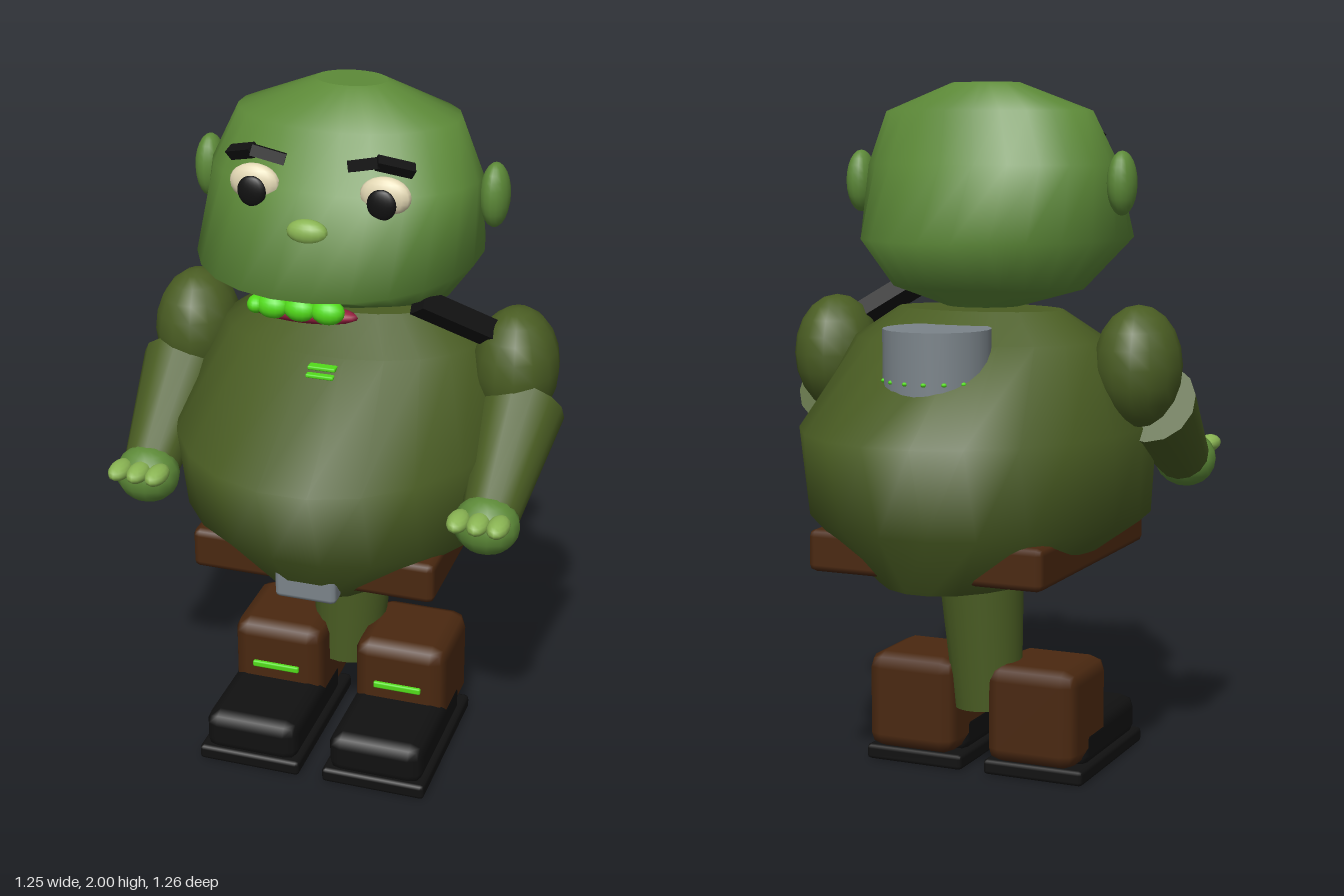
import * as THREE from 'three';
import { RoundedBoxGeometry } from 'three/addons/geometries/RoundedBoxGeometry.js';

const paint = (name, color) => {
  const m = new THREE.MeshStandardMaterial({ color });
  m.name = name;
  return m;
};

// Closed skin through elliptical rings, listed bottom to top: [y, halfWidth, zFront, zBack]
function loft(rings, n) {
  const pos = [], idx = [];
  const addRing = ([y, rx, zf, zb]) => {
    const start = pos.length / 3;
    for (let i = 0; i < n; i++) {
      const a = ((i + 0.5) / n) * Math.PI * 2;
      pos.push(rx * Math.sin(a), y, (zf + zb) / 2 + ((zf - zb) / 2) * Math.cos(a));
    }
    return start;
  };
  const starts = rings.map(addRing);
  for (let r = 0; r < rings.length - 1; r++) {
    for (let i = 0; i < n; i++) {
      const j = (i + 1) % n, a = starts[r], b = starts[r + 1];
      idx.push(a + i, a + j, b + j, a + i, b + j, b + i);
    }
  }
  // flat caps with their own vertices
  [rings[0], rings[rings.length - 1]].forEach((ring, top) => {
    const s = addRing(ring), c = pos.length / 3;
    pos.push(0, ring[0], (ring[2] + ring[3]) / 2);
    for (let i = 0; i < n; i++) {
      const j = (i + 1) % n;
      if (top) idx.push(c, s + i, s + j);
      else idx.push(c, s + j, s + i);
    }
  });
  const g = new THREE.BufferGeometry();
  g.setAttribute('position', new THREE.Float32BufferAttribute(pos, 3));
  g.setIndex(idx);
  g.computeVertexNormals();
  return g;
}

export function createModel() {
  const olive = paint('olive cloth', 0x4a5d23);
  const skin = paint('green skin', 0x5d8a38);
  const lightSkin = paint('light green skin', 0x8ab553);
  const glow = paint('bright green', 0x52dc1a);
  const brown = paint('brown leather', 0x4a2810);
  const black = paint('black', 0x111111);
  const gray = paint('gray metal', 0x7b848a);
  const cream = paint('cream', 0xe3d8b4);
  const red = paint('dark red', 0x96203f);

  const model = new THREE.Group();
  model.name = 'goblin';

  const add = (name, geo, mat, x = 0, y = 0, z = 0) => {
    const m = new THREE.Mesh(geo, mat);
    m.name = name;
    m.position.set(x, y, z);
    model.add(m);
    return m;
  };
  const ball = (name, mat, x, y, z, rx, ry, rz, ws = 16, hs = 12) => {
    const m = add(name, new THREE.SphereGeometry(1, ws, hs), mat, x, y, z);
    m.scale.set(rx, ry, rz);
    return m;
  };
  const block = (name, mat, x, y, z, w, h, d, r) =>
    add(name, new RoundedBoxGeometry(w, h, d, 1, r), mat, x, y, z);
  // long part whose local y axis runs from a to b
  const between = (name, mat, a, b, makeGeo) => {
    const p = new THREE.Vector3(...a), q = new THREE.Vector3(...b);
    const dir = q.clone().sub(p), mid = p.clone().add(q).multiplyScalar(0.5);
    const m = add(name, makeGeo(dir.length()), mat, mid.x, mid.y, mid.z);
    m.quaternion.setFromUnitVectors(new THREE.Vector3(0, 1, 0), dir.normalize());
    return m;
  };

  // Torso, belt and the single trunk below it
  add('body', loft([
    [0.61, 0.25, 0.41, -0.44],
    [0.78, 0.485, 0.53, -0.54],
    [1.04, 0.49, 0.635, -0.635],
    [1.28, 0.38, 0.255, -0.275],
    [1.365, 0.25, 0.13, -0.16],
  ], 22), olive);
  block('belt', brown, 0, 0.7, -0.005, 0.71, 0.12, 0.81, 0.02);
  block('buckle', gray, 0, 0.665, 0.425, 0.18, 0.09, 0.06, 0.015);
  between('trunk', olive, [-0.02, 0.2, -0.005], [0, 0.64, -0.015],
    (h) => new THREE.CylinderGeometry(0.128, 0.1, h, 20));
  for (const y of [1.245, 1.262])
    block('chestMark', glow, 0, y, 0.285 + (1.262 - y), 0.08, 0.011, 0.03, 0.004);

  // Head
  add('head', loft([
    [1.37, 0.11, 0.11, -0.09],
    [1.42, 0.29, 0.21, -0.14],
    [1.56, 0.388, 0.55, -0.335],
    [1.77, 0.378, 0.32, -0.18],
    [1.92, 0.31, 0.255, -0.165],
    [2.0, 0.1, 0.1, -0.05],
  ], 24), skin);
  ball('nose', lightSkin, 0, 1.695, 0.4, 0.056, 0.034, 0.032);

  // Mouth and teeth
  ball('mouth', red, 0, 1.487, 0.435, 0.15, 0.027, 0.04);
  for (const x of [-0.12, -0.075, 0, 0.075])
    ball('tooth', glow, x, 1.505, 0.46, x < -0.1 ? 0.025 : 0.046, x < -0.1 ? 0.024 : 0.034, 0.033);

  // Tank on the back with a glowing band just breaking the surface
  add('tank', new THREE.CylinderGeometry(0.15, 0.15, 0.45, 24), gray, 0, 1.105, -0.305);
  for (let i = 0; i < 6; i++) {
    const a = Math.PI * (0.2 + 0.12 * i);
    ball('tankLight', glow, 0.148 * Math.cos(a), 1.19, -0.305 - 0.148 * Math.sin(a), 0.008, 0.006, 0.008, 8, 6);
  }

  // Strap over one shoulder
  between('strap', black, [0.24, 1.45, 0.19], [0.43, 1.31, 0.04],
    (h) => new THREE.BoxGeometry(0.06, h, 0.06));

  for (const s of [-1, 1]) {
    // Face
    ball('ear', skin, s * 0.407, 1.72, 0.04, 0.041, 0.09, 0.057);
    ball('eye', cream, s * 0.18, 1.778, 0.298, 0.07, 0.052, 0.03);
    ball('pupil', black, s * 0.178, 1.763, 0.328, 0.04, 0.042, 0.014);
    const brow = [[s * 0.245, 1.85, 0.285], [s * 0.17, 1.877, 0.33], [s * 0.095, 1.855, 0.312]];
    for (const i of [0, 1])
      between('eyebrow', black, brow[i], brow[i + 1], (h) => new THREE.BoxGeometry(0.03, h + 0.012, 0.03));

    // Arm
    ball('upperArm', olive, s * 0.473, 1.215, 0.005, 0.122, 0.172, 0.145, 14, 10);
    between('forearm', olive, [s * 0.5, 1.11, 0.05], [s * 0.495, 0.92, 0.335],
      (h) => new THREE.CylinderGeometry(0.08, 0.125, h, 14));
    ball('hand', skin, s * 0.493, 0.905, 0.372, 0.092, 0.083, 0.08, 14, 10);
    for (const f of [-0.055, 0, 0.055])
      ball('finger', lightSkin, s * 0.488 + f, 0.943, 0.445, 0.031, 0.025, 0.055, 12, 8);

    // Boot
    const x = s * 0.19;
    block('bootShaft', brown, x, 0.195, 0.035, 0.28, 0.29, 0.29, 0.045);
    block('bootStripe', glow, x, 0.205, 0.18, 0.145, 0.02, 0.02, 0.005);
    block('bootToe', black, x, 0.095, 0.2, 0.285, 0.13, 0.44, 0.04);
    block('sole', black, x, 0.027, 0.175, 0.31, 0.045, 0.51, 0.012);
  }

  return model;
}
